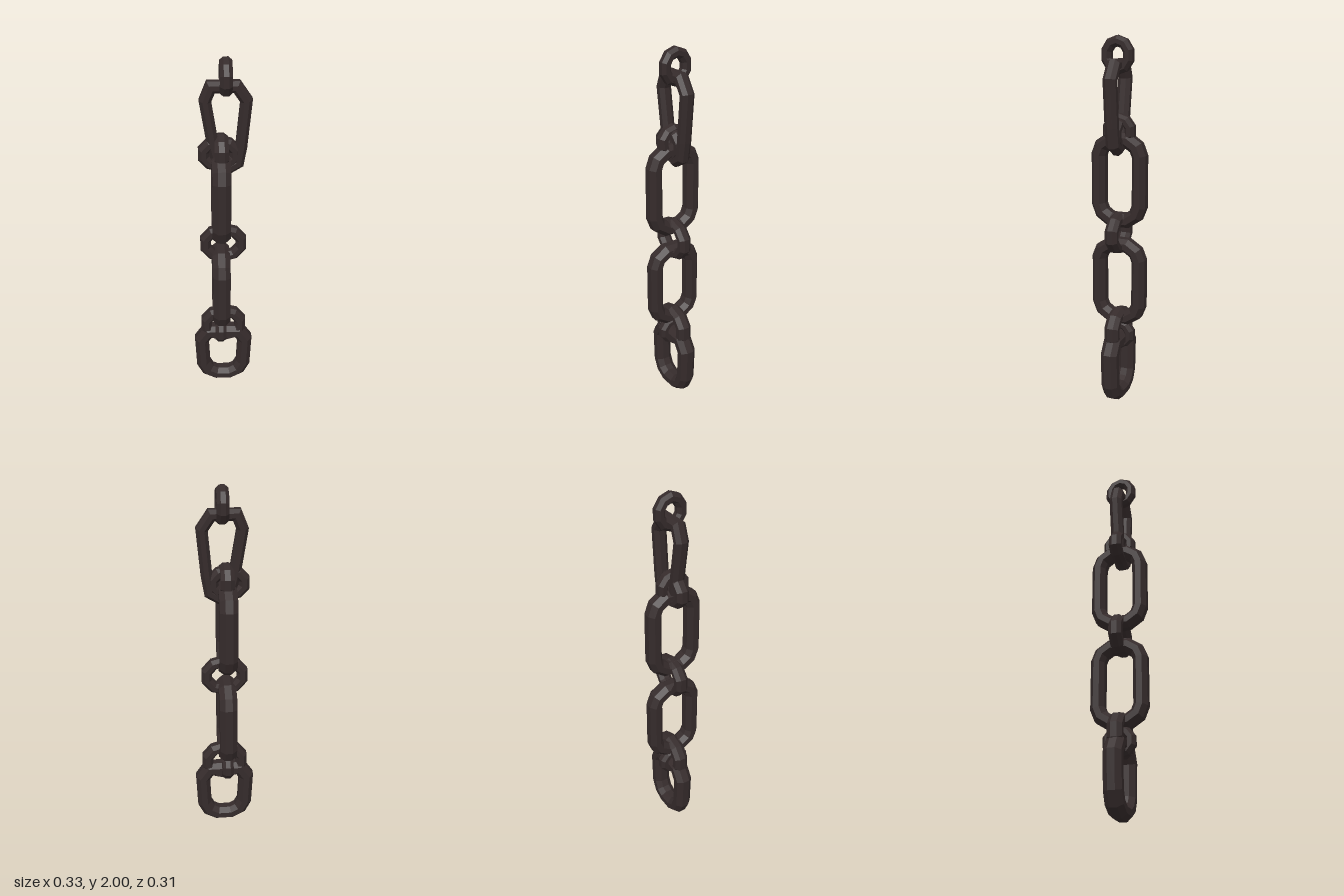
import * as THREE from 'three';

const iron = new THREE.MeshStandardMaterial({ color: 0x352b2b, flatShading: true });
iron.name = 'dark iron';

// Closed bar swept round a counterclockwise path in the xy plane.
// w = half width of the bar in the plane, d = half depth along z.
function barLoop(points, w, d, sides = 8) {
  const path = points.map(([x, y]) => new THREE.Vector2(x, y));
  const n = path.length;
  const pos = [], index = [];
  path.forEach((p, i) => {
    const a = p.clone().sub(path[(i + n - 1) % n]).normalize();
    const b = path[(i + 1) % n].clone().sub(p).normalize();
    const t = a.clone().add(b).normalize();
    const mitre = w / Math.max(0.6, t.dot(b));
    for (let j = 0; j < sides; j++) {
      const ang = ((j + 0.5) / sides) * Math.PI * 2;
      const k = 1 / Math.cos(Math.PI / sides);
      const r = mitre * k * Math.cos(ang);
      pos.push(p.x + t.y * r, p.y - t.x * r, d * k * Math.sin(ang));
      const i2 = (i + 1) % n, j2 = (j + 1) % sides;
      const A = i * sides + j, B = i2 * sides + j, C = i2 * sides + j2, D = i * sides + j2;
      index.push(A, B, C, A, C, D);
    }
  });
  const g = new THREE.BufferGeometry();
  g.setAttribute('position', new THREE.Float32BufferAttribute(pos, 3));
  g.setIndex(index);
  const flat = g.toNonIndexed();
  flat.computeVertexNormals();
  return flat;
}

// Long link outline with stepped, rounded ends
function longOutline(hw, hh) {
  const quarter = [[hw, hh * 0.62], [hw * 0.84, hh * 0.84], [hw * 0.4, hh]];
  const flip = (sx, sy) => quarter.map(([x, y]) => [x * sx, y * sy]);
  return [...flip(1, 1), ...flip(-1, 1).reverse(), ...flip(-1, -1), ...flip(1, -1).reverse()];
}

// Small ring outline
function ringOutline(rx, ry, count = 10) {
  return Array.from({ length: count }, (_, i) => {
    const a = ((i + 0.5) / count) * Math.PI * 2;
    return [rx * Math.cos(a), ry * Math.sin(a)];
  });
}

export function createModel() {
  const chain = new THREE.Group();
  chain.name = 'chain';

  const add = (name, outline, w, d, [x, y, z], sideways = false) => {
    const mesh = new THREE.Mesh(barLoop(outline, w, d), iron);
    mesh.name = name;
    mesh.position.set(x, y, z);
    if (sideways) mesh.rotation.y = Math.PI / 2;
    chain.add(mesh);
  };

  // Heavy bottom link, wider at the shoulders
  add('bottomLink', [
    [0.125, 0.31], [0.085, 0.37], [-0.085, 0.37], [-0.125, 0.31],
    [-0.117, 0.13], [-0.09, 0.075], [-0.04, 0.047], [0.04, 0.047], [0.09, 0.075], [0.117, 0.13],
  ], 0.04, 0.047, [0, 0, 0]);
  add('bottomRing', ringOutline(0.1, 0.09), 0.031, 0.04, [0, 0.425, 0]);
  add('bottomCrossRing', ringOutline(0.062, 0.058), 0.026, 0.032, [-0.015, 0.39, 0], true);

  // Two long links seen edge-on from the front
  add('lowerLongLink', longOutline(0.115, 0.207), 0.038, 0.047, [-0.012, 0.7, 0], true);
  add('middleRing', ringOutline(0.1, 0.086), 0.028, 0.035, [0, 0.978, 0]);
  add('upperLongLink', longOutline(0.115, 0.215), 0.038, 0.047, [-0.012, 1.262, 0], true);

  // Rings joining the tapered link to the chain
  add('upperRing', ringOutline(0.082, 0.065), 0.028, 0.035, [-0.02, 1.51, 0]);
  add('upperCrossRing', ringOutline(0.064, 0.062), 0.026, 0.035, [-0.01, 1.525, 0], true);

  // Tapered link, broad at the top
  add('taperedLink', [
    [0.112, 1.79], [0.065, 1.86], [-0.06, 1.86], [-0.088, 1.79],
    [-0.05, 1.55], [-0.03, 1.46], [0.03, 1.432], [0.075, 1.46], [0.09, 1.55],
  ], 0.029, 0.035, [0, 0, 0]);

  // Hanging ring
  add('topRing', ringOutline(0.062, 0.07), 0.026, 0.03, [0.012, 1.907, 0], true);

  return chain;
}
